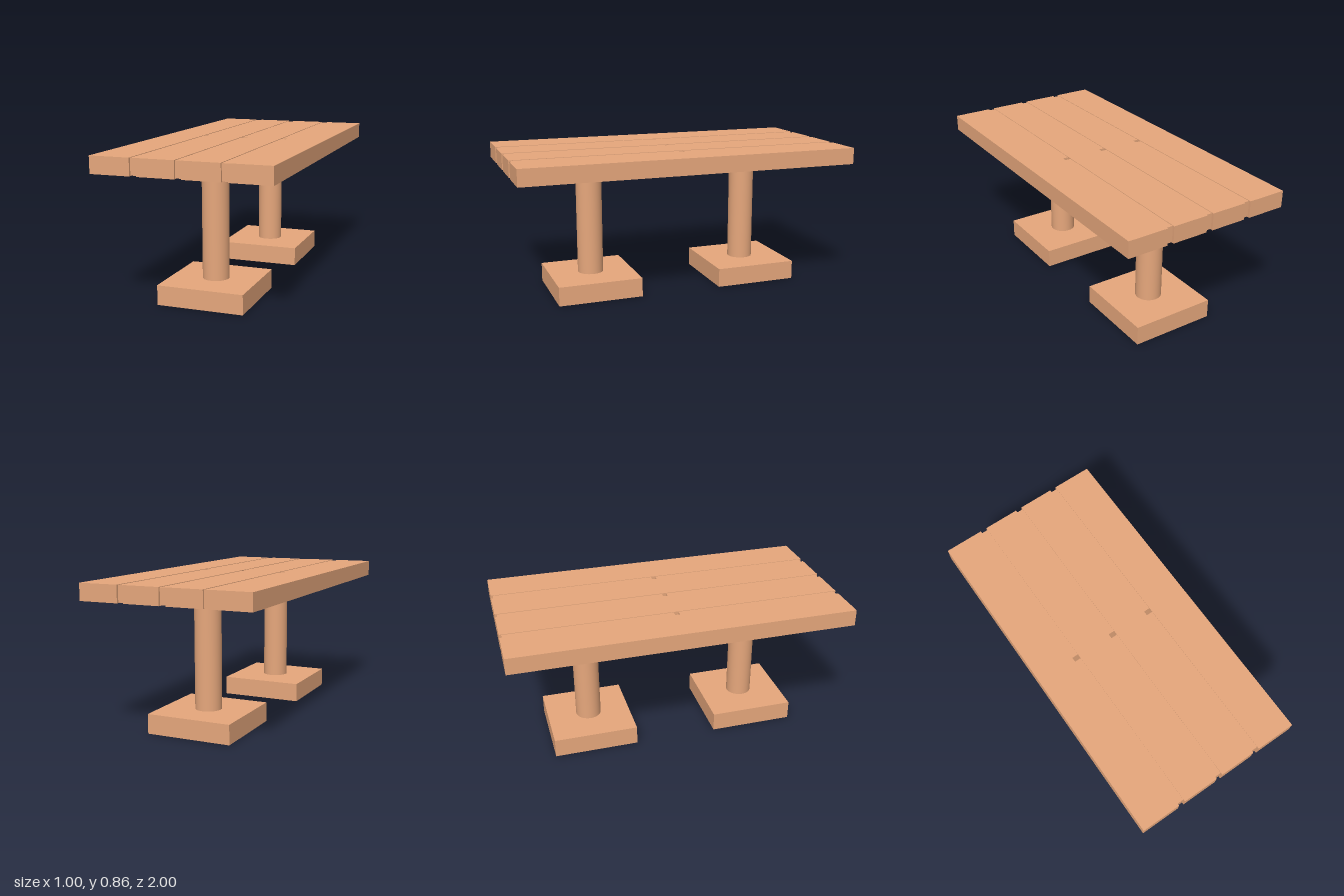
import * as THREE from 'three';

export function createModel() {
  const group = new THREE.Group();
  const wood = new THREE.MeshStandardMaterial({ color: 0xe6a77c });

  const add = (name, geometry, x, y, z) => {
    const mesh = new THREE.Mesh(geometry, wood);
    mesh.name = name;
    mesh.position.set(x, y, z);
    group.add(mesh);
  };
  // Box given by its lower and upper limits on each axis
  const addBox = (name, [x0, x1], [y0, y1], [z0, z1]) =>
    add(name, new THREE.BoxGeometry(x1 - x0, y1 - y0, z1 - z0),
      (x0 + x1) / 2, (y0 + y1) / 2, (z0 + z1) / 2);

  // Four full-length planks of the table top
  const seams = [-0.251, -0.001, 0.248];
  const half = 0.019;
  for (let i = 0; i < 4; i++) {
    const x0 = i === 0 ? -0.5 : seams[i - 1] + half;
    const x1 = i === 3 ? 0.5 : seams[i] - half;
    addBox('plank', [x0, x1], [0.765, 0.862], [-1, 1]);
  }

  // Slightly thinner strips fill the seams, leaving notches at the ends and middle
  for (const x of seams) {
    for (const [z0, z1] of [[-0.987, -0.014], [0.014, 0.987]]) {
      addBox('seamStrip', [x - half, x + half], [0.768, 0.859], [z0, z1]);
    }
  }

  // Two round columns on square foot blocks
  for (const z of [0.5, -0.5]) {
    add('column', new THREE.CylinderGeometry(0.077, 0.077, 0.67, 48), 0, 0.445, z);
    addBox('footBlock', [-0.252, 0.252], [0, 0.114], [z - 0.252, z + 0.252]);
  }

  return group;
}
